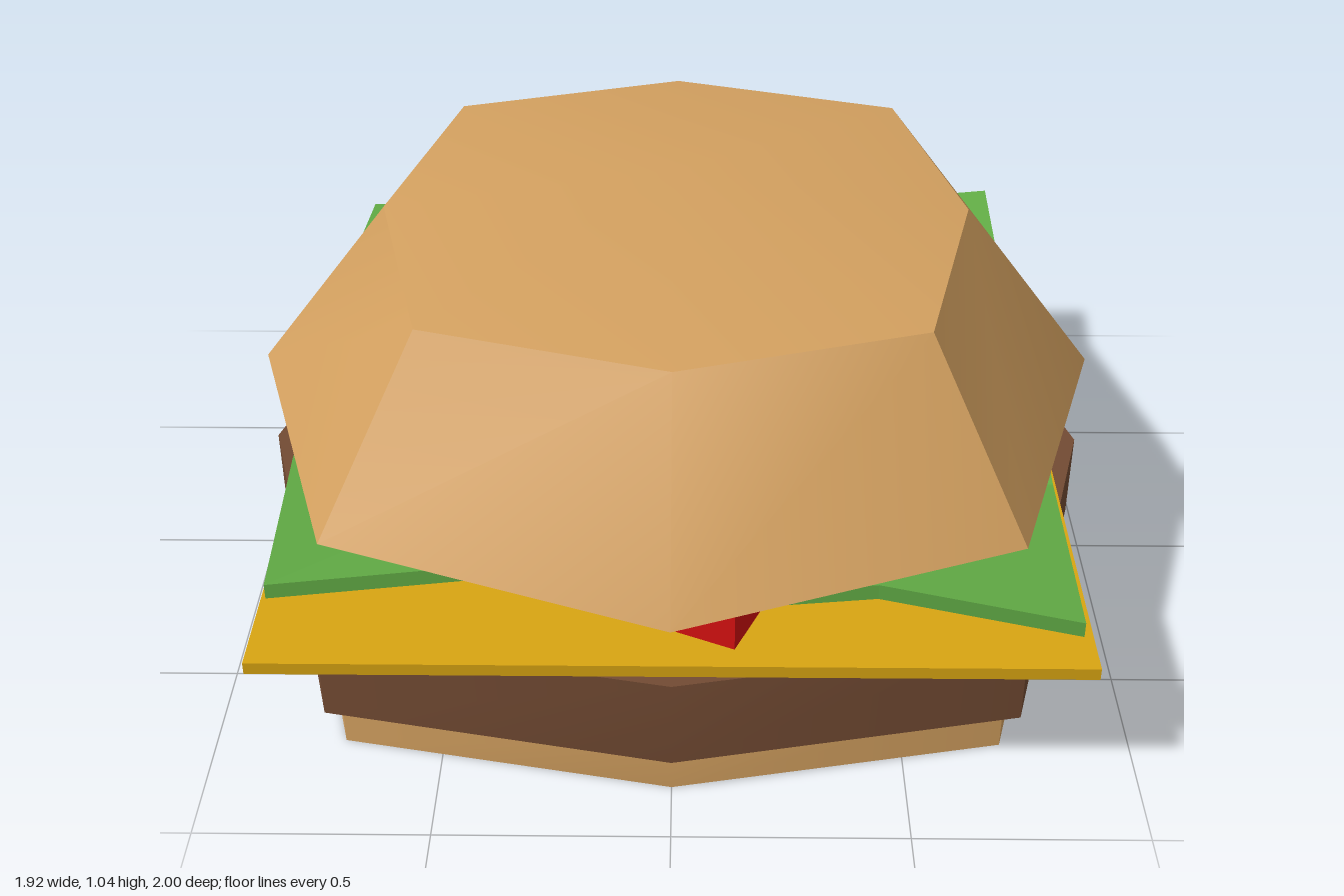
import * as THREE from 'three';
import { toCreasedNormals } from 'three/addons/utils/BufferGeometryUtils.js';

// Flat colours
function makeMaterial(name, color, flatShading = false) {
  const m = new THREE.MeshStandardMaterial({ color, flatShading });
  m.name = name;
  return m;
}

// Eight-sided ring: side midpoints at mx / mz, corners at (c, c)
function ring({ y, mx, mz, c }) {
  return [[0, mz], [c, c], [mx, 0], [c, -c], [0, -mz], [-c, -c], [-mx, 0], [-c, c]]
    .map(([x, z]) => [x, y, z]);
}

// Solid made of stacked rings, closed below and capped by a point at topY
function octagonStack(levels, topY, crease) {
  const rings = levels.map(ring);
  const first = rings[0], last = rings[rings.length - 1];
  const pos = [];
  const tri = (a, b, c) => pos.push(...a, ...b, ...c);
  for (let i = 0; i < 8; i++) {
    const j = (i + 1) % 8;
    for (let k = 0; k < rings.length - 1; k++) {
      const lo = rings[k], hi = rings[k + 1];
      tri(lo[i], lo[j], hi[j]);
      tri(lo[i], hi[j], hi[i]);
    }
    tri([0, topY, 0], last[i], last[j]);
    tri([0, levels[0].y, 0], first[j], first[i]);
  }
  const g = new THREE.BufferGeometry();
  g.setAttribute('position', new THREE.Float32BufferAttribute(pos, 3));
  return toCreasedNormals(g, crease);
}

// Wavy sheet: heights of the top side, rows from back to front, columns from -x to +x
function lettuceGeometry() {
  const heights = [
    [0.49, 0.50, 0.54, 0.50, 0.54],
    [0.55, 0.47, 0.47, 0.47, 0.49],
    [0.50, 0.46, 0.46, 0.46, 0.55],
    [0.55, 0.46, 0.46, 0.46, 0.49],
    [0.50, 0.55, 0.51, 0.55, 0.48],
  ];
  const w = 1.66, d = 1.72, t = 0.035;
  const g = new THREE.BoxGeometry(w, t, d, 4, 1, 4);
  const p = g.attributes.position;
  for (let i = 0; i < p.count; i++) {
    const x = p.getX(i), z = p.getZ(i);
    const col = Math.round((x / w + 0.5) * 4);
    const row = Math.round((z / d + 0.5) * 4);
    // the front right corner is pulled in a little
    const pull = row === 4 && col < 2 ? 0.05 : 0;
    p.setXYZ(i, x, heights[row][col] + p.getY(i) - t / 2, z - 0.01 - pull + (row === 4 && col === 4 ? 0.03 : 0));
  }
  g.computeVertexNormals();
  return g;
}

export function createModel() {
  const bun = makeMaterial('bun tan', 0xd4a160);
  const meat = makeMaterial('meat brown', 0x734b33);
  const cheese = makeMaterial('cheese yellow', 0xd9a512);
  const tomato = makeMaterial('tomato red', 0xd11010);
  const leaf = makeMaterial('lettuce green', 0x62ad46, true);

  const group = new THREE.Group();
  group.name = 'burger';
  const add = (name, geometry, material) => {
    const mesh = new THREE.Mesh(geometry, material);
    mesh.name = name;
    group.add(mesh);
    return mesh;
  };

  // Bottom bun and patty
  add('bottomBun', octagonStack([
    { y: 0, mx: 0.915, mz: 0.855, c: 0.717 },
    { y: 0.11, mx: 0.915, mz: 0.855, c: 0.717 },
  ], 0.11, 0.8), bun);
  add('patty', octagonStack([
    { y: 0.11, mx: 0.96, mz: 0.897, c: 0.75 },
    { y: 0.32, mx: 0.96, mz: 0.897, c: 0.75 },
  ], 0.32, 0.8), meat);

  // Cheese slice
  add('cheeseSlice', new THREE.BoxGeometry(1.75, 0.028, 1.75), cheese)
    .position.set(0, 0.346, 0.005);

  // Square tomato slices: centre x, centre z, size, turn
  [
    [-0.44, -0.323, 0.72, 0.38],
    [-0.015, 0.445, 0.58, -0.425],
    [0.42, -0.26, 0.59, 0.42],
  ].forEach(([x, z, size, turn], i) => {
    const slice = add('tomatoSlice' + (i + 1), new THREE.BoxGeometry(size, 0.087, size), tomato);
    slice.position.set(x, 0.4055, z);
    slice.rotation.y = turn;
  });

  // Lettuce leaf
  add('lettuce', lettuceGeometry(), leaf);

  // Domed top bun
  add('topBun', octagonStack([
    { y: 0.55, mx: 0.96, mz: 1, c: 0.728 },
    { y: 0.945, mx: 0.657, mz: 0.683, c: 0.528 },
  ], 1.04, 0.62), bun);

  return group;
}
